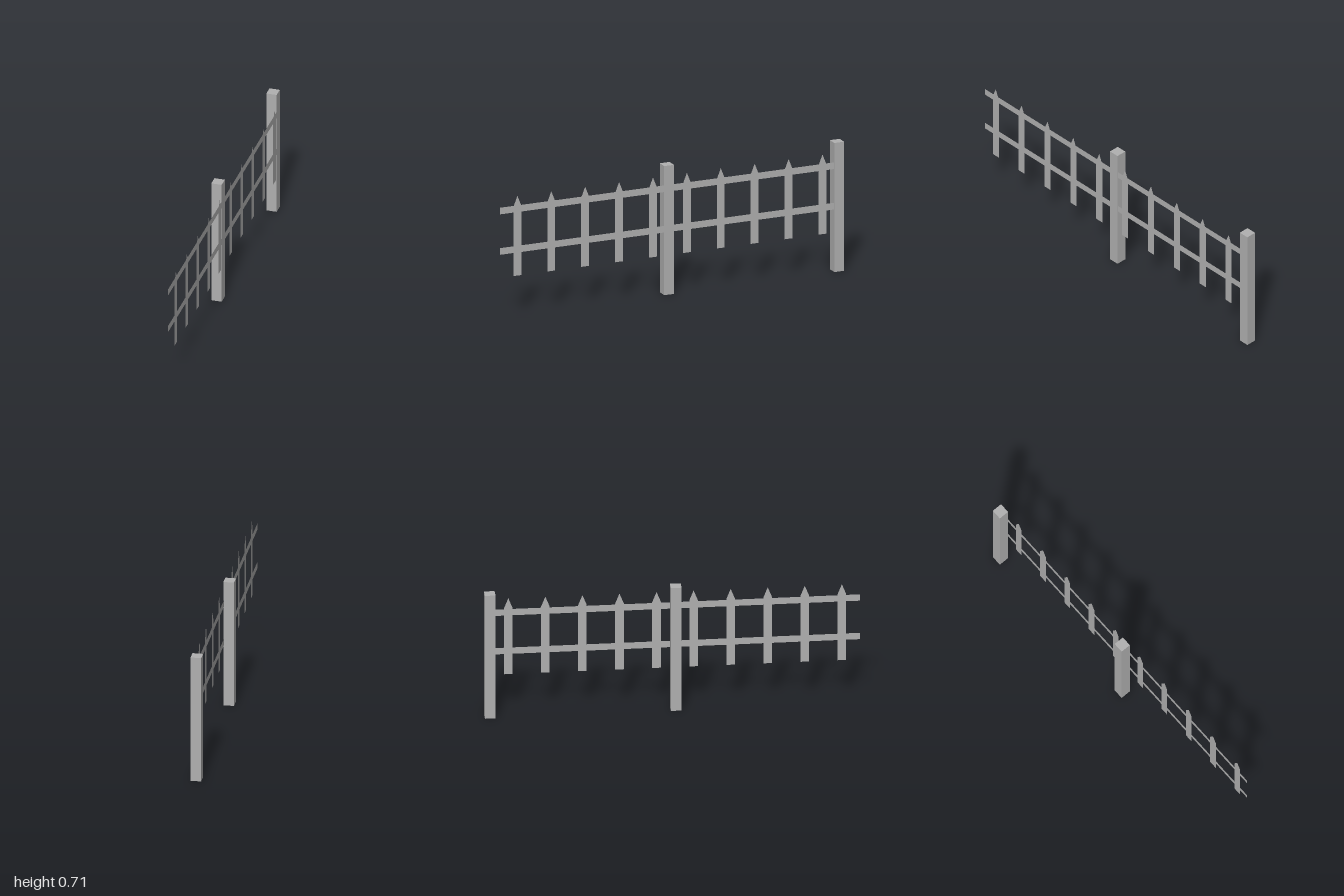
import * as THREE from 'three';

export function createModel() {
  const fence = new THREE.Group();
  fence.name = 'picketFence';
  const grey = new THREE.MeshStandardMaterial({ color: 0xb0b0b0, side: THREE.DoubleSide });
  grey.name = 'fence grey';

  const add = (name, geometry, x, y, z) => {
    const mesh = new THREE.Mesh(geometry, grey);
    mesh.name = name;
    mesh.position.set(x, y, z);
    fence.add(mesh);
  };

  // Square posts, standing on the ground
  const postSize = 0.057, postHeight = 0.715;
  const postGeometry = new THREE.BoxGeometry(postSize, postHeight, postSize);
  add('middlePost', postGeometry, -0.0055, postHeight / 2, 0.017);
  add('backPost', postGeometry, -0.0055, postHeight / 2, -0.9715);

  // Flat rails, running along z into the back post
  const railLength = 1.95;
  const railGeometry = new THREE.PlaneGeometry(railLength, 0.037).rotateY(Math.PI / 2);
  add('lowerRail', railGeometry, 0.021, 0.365, 1 - railLength / 2);
  add('upperRail', railGeometry, 0.021, 0.589, 1 - railLength / 2);

  // Flat pointed pickets on the outer side of the rails
  const half = 0.023;
  const outline = new THREE.Shape([
    new THREE.Vector2(-half, 0.223),
    new THREE.Vector2(half, 0.223),
    new THREE.Vector2(half, 0.607),
    new THREE.Vector2(0, 0.665),
    new THREE.Vector2(-half, 0.607),
  ]);
  const picketGeometry = new THREE.ShapeGeometry(outline).rotateY(Math.PI / 2);
  for (let i = 0; i < 10; i++) {
    add('picket' + (i + 1), picketGeometry, 0.034, 0, 0.904 - i * 0.197);
  }
  return fence;
}
